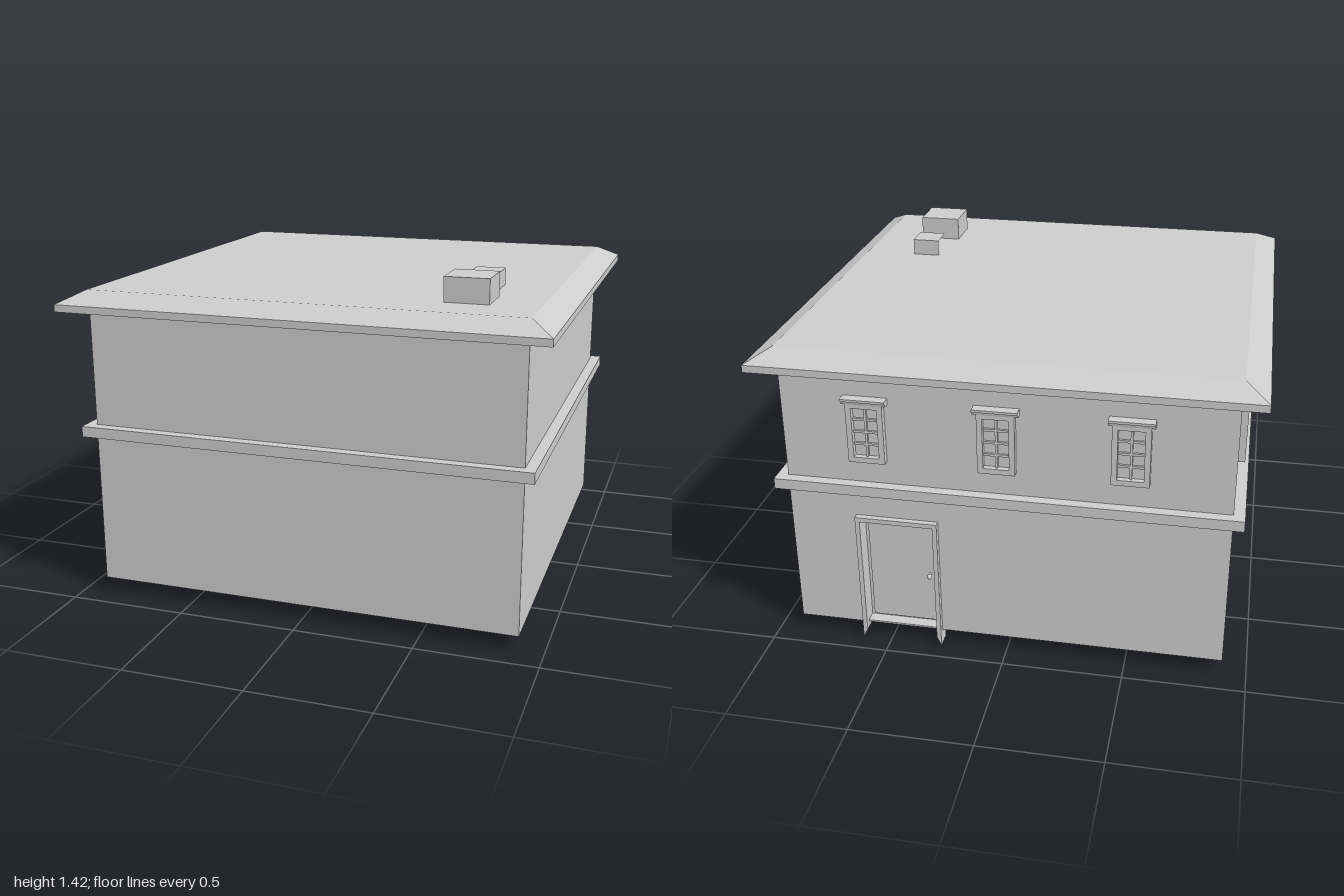
import * as THREE from 'three';

export function createModel() {
  const model = new THREE.Group();
  model.name = 'house';
  const grey = new THREE.MeshStandardMaterial({ color: 0xcccccc });
  grey.name = 'plain grey';

  const add = (parent, name, geometry, x = 0, y = 0, z = 0) => {
    const mesh = new THREE.Mesh(geometry, grey);
    mesh.name = name;
    mesh.position.set(x, y, z);
    parent.add(mesh);
    return mesh;
  };
  // Box given by its minimum and maximum corners
  const block = (parent, name, x0, x1, y0, y1, z0, z1) =>
    add(parent, name, new THREE.BoxGeometry(x1 - x0, y1 - y0, z1 - z0),
      (x0 + x1) / 2, (y0 + y1) / 2, (z0 + z1) / 2);
  const outline = (points) => new THREE.Shape(points.map(([x, y]) => new THREE.Vector2(x, y)));
  const extrude = (shape, depth) => new THREE.ExtrudeGeometry(shape, { depth, bevelEnabled: false });

  // Walls: main block, and a back wall layer with the door opening
  const door = { x0: 0.297, x1: 0.603, top: 0.58 };
  block(model, 'walls', -0.9, 0.9, 0.07, 1.25, -0.85, 0.9);
  const backWall = outline([
    [-0.9, 0.07], [door.x0, 0.07], [door.x0, door.top], [door.x1, door.top],
    [door.x1, 0.07], [0.9, 0.07], [0.9, 1.25], [-0.9, 1.25],
  ]);
  add(model, 'backWall', extrude(backWall, 0.05), 0, 0, -0.9);

  // Band between the floors
  block(model, 'floorBand', -0.945, 0.945, 0.715, 0.76, -0.945, 0.945);

  // Roof: eaves slab with a shallow truncated pyramid on top
  block(model, 'eaves', -1, 1, 1.25, 1.28, -1, 1);
  const slope = new THREE.CylinderGeometry(0.905 * Math.SQRT2, Math.SQRT2, 0.05, 4, 1, false, Math.PI / 4)
    .toNonIndexed();
  slope.computeVertexNormals();
  add(model, 'roof', slope, 0, 1.305, 0);

  // Rooftop boxes; the small one is open on its right side
  block(model, 'largeChimney', 0.53, 0.71, 1.33, 1.43, 0.54, 0.72);
  const vent = block(model, 'smallVent', 0.56, 0.68, 1.33, 1.4, 0.28, 0.4).geometry;
  vent.setIndex([...vent.index.array].filter((_, i) => i < 6 || i >= 12));
  vent.clearGroups();

  // Door: surround with slanted feet, recessed panel, threshold and knob
  const doorway = new THREE.Group();
  doorway.name = 'doorway';
  model.add(doorway);
  const surround = outline([
    [0.278, 0.005], [door.x0, 0.045], [door.x0, door.top], [door.x1, door.top],
    [door.x1, 0.045], [0.622, 0.005], [0.622, 0.6], [0.278, 0.6],
  ]);
  add(doorway, 'doorSurround', extrude(surround, 0.075), 0, 0, -0.925);
  block(doorway, 'doorPanel', 0.31, 0.59, 0.085, 0.57, -0.857, -0.849);
  block(doorway, 'threshold', door.x0, door.x1, 0.07, 0.078, -0.9, -0.85);
  const stem = add(doorway, 'knobStem', new THREE.CylinderGeometry(0.005, 0.005, 0.03, 10), 0.33, 0.318, -0.868);
  stem.rotation.x = Math.PI / 2;
  add(doorway, 'knob', new THREE.SphereGeometry(0.011, 12, 8), 0.33, 0.318, -0.882);

  // Window, built facing +z with its back on z = 0
  const createWindow = () => {
    const group = new THREE.Group();
    group.name = 'window';
    const frame = outline([[-0.075, 0.86], [0.075, 0.86], [0.075, 1.12], [-0.075, 1.12]]);
    frame.holes.push(new THREE.Path(
      [[-0.052, 0.883], [-0.052, 1.097], [0.052, 1.097], [0.052, 0.883]]
        .map(([x, y]) => new THREE.Vector2(x, y))));
    add(group, 'windowFrame', extrude(frame, 0.028));
    block(group, 'glass', -0.053, 0.053, 0.882, 1.098, 0, 0.004);
    block(group, 'verticalBar', -0.005, 0.005, 0.882, 1.098, 0, 0.014);
    for (let i = 1; i < 4; i++) {
      const y = 0.883 + (0.214 * i) / 4;
      block(group, 'crossBar', -0.053, 0.053, y - 0.005, y + 0.005, 0, 0.013);
    }
    // Hood with a sloping underside
    const hood = outline([[0, 1.11], [0.03, 1.115], [0.033, 1.127], [0.043, 1.13], [0.043, 1.14], [0, 1.14]]);
    const mesh = add(group, 'windowHood', extrude(hood, 0.18), 0.09, 0, 0);
    mesh.rotation.y = -Math.PI / 2;
    return group;
  };

  // Three windows upstairs on the back wall and on the -x wall
  for (const x of [0.55, 0.025, -0.5]) {
    const w = createWindow();
    w.position.set(x, 0, -0.9);
    w.rotation.y = Math.PI;
    model.add(w);
  }
  for (const z of [-0.575, -0.05, 0.475]) {
    const w = createWindow();
    w.position.set(-0.9, 0, z);
    w.rotation.y = -Math.PI / 2;
    model.add(w);
  }
  return model;
}
